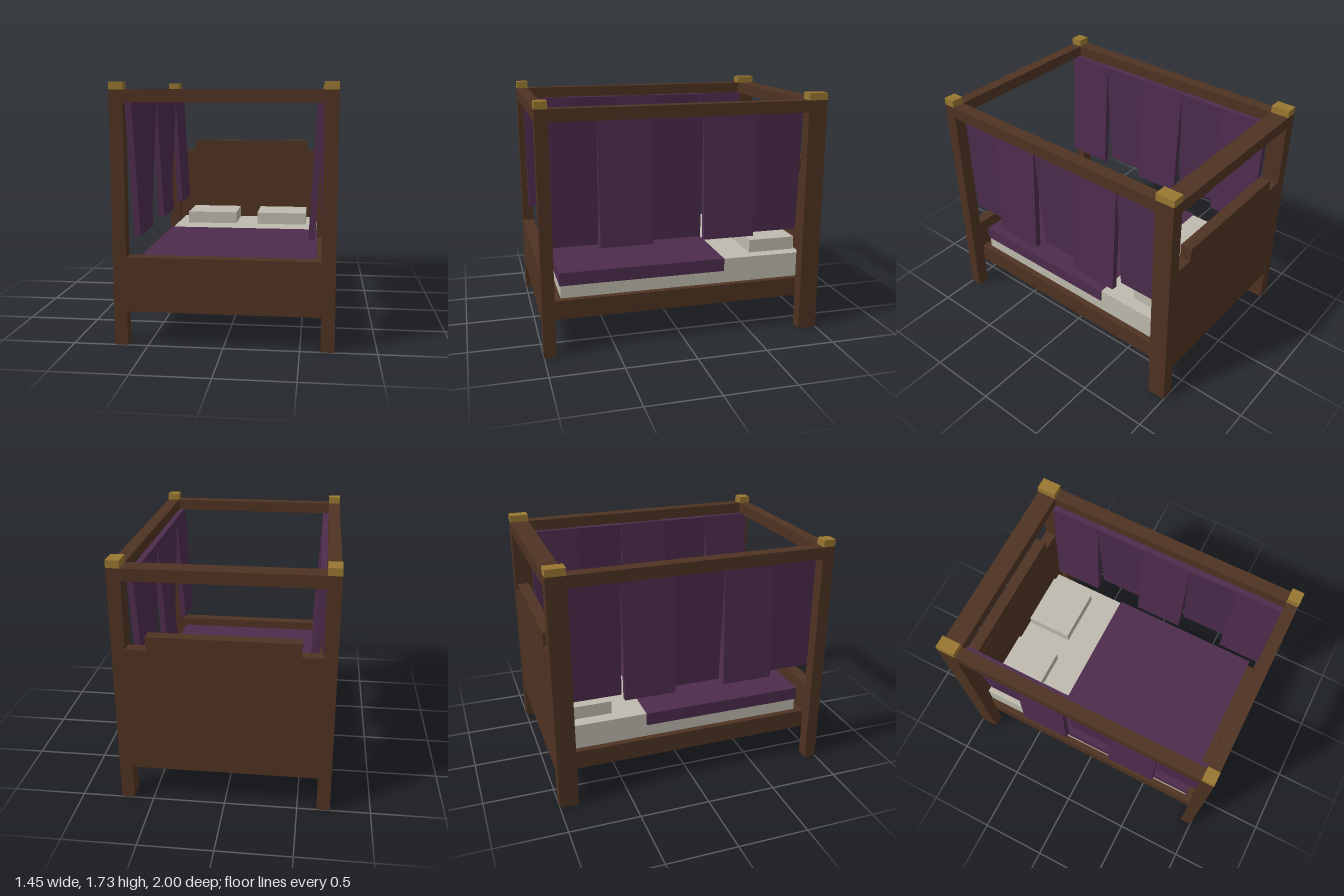
import * as THREE from 'three';

const mat = (name, color) => {
  const m = new THREE.MeshStandardMaterial({ color });
  m.name = name;
  return m;
};

export function createModel() {
  const wood = mat('dark wood', 0x4e3322);
  const gold = mat('gold', 0x997731);
  const purple = mat('purple cloth', 0x4e2c4d);
  const linen = mat('linen', 0xbebaae);

  const model = new THREE.Group();
  model.name = 'canopyBed';

  // Box given by its extents on each axis
  const box = (name, material, [x0, x1], [y0, y1], [z0, z1]) => {
    const geo = new THREE.BoxGeometry(x1 - x0, y1 - y0, z1 - z0);
    const mesh = new THREE.Mesh(geo, material);
    mesh.position.set((x0 + x1) / 2, (y0 + y1) / 2, (z0 + z1) / 2);
    mesh.name = name;
    model.add(mesh);
    return mesh;
  };

  const front = [0.915, 1];
  const back = [-1, -0.865];
  const inner = [-0.635, 0.635];
  const rail = [1.597, 1.68];

  // Frame: base, end boards and cross rails
  box('base', wood, inner, [0.23, 0.365], [-0.915, 0.915]);
  box('footboard', wood, inner, [0.23, 0.595], front);
  box('headboard', wood, inner, [0.25, 1.135], [-0.998, -0.915]);
  box('headboardCrest', wood, [-0.5, 0.5], [0.86, 1.228], [-1, -0.917]);
  box('frontRail', wood, inner, rail, front);
  box('backRail', wood, inner, rail, back);

  // Bedding
  box('mattress', linen, [-0.59, 0.59], [0.365, 0.545], [-0.915, 0.86]);
  box('blanket', purple, [-0.6, 0.6], [0.457, 0.55], [-0.32, 0.866]);

  for (const side of [1, -1]) {
    const label = side > 0 ? 'left' : 'right';
    const span = (a, b) => (side > 0 ? [a, b] : [-b, -a]);
    const postX = span(0.635, 0.725);

    // Posts, finials and side rail
    for (const [end, z] of [['Front', front], ['Back', back]]) {
      box(`${label}${end}Post`, wood, postX, [0, 1.68], z);
      box(`${label}${end}Cap`, gold, postX, [1.68, 1.73], z);
    }
    box(`${label}TopRail`, wood, postX, rail, [-0.865, 0.915]);
    box(`${label}Pillow`, linen, span(0.09, 0.5), [0.545, 0.64], [-0.9, -0.55]);

    // Curtain panels hang from the rail, swinging alternately in and out
    const width = 0.364;
    for (let i = 0; i < 5; i++) {
      const geo = new THREE.BoxGeometry(0.043, 0.87, width).translate(0, -0.435, 0);
      const panel = new THREE.Mesh(geo, purple);
      panel.name = `${label}Curtain${i + 1}`;
      panel.position.set(side * 0.614, 1.6, 0.955 - width * (i + 0.5));
      panel.rotation.z = side * (i % 2 ? 1 : -1) * 0.054;
      model.add(panel);
    }
  }
  return model;
}
